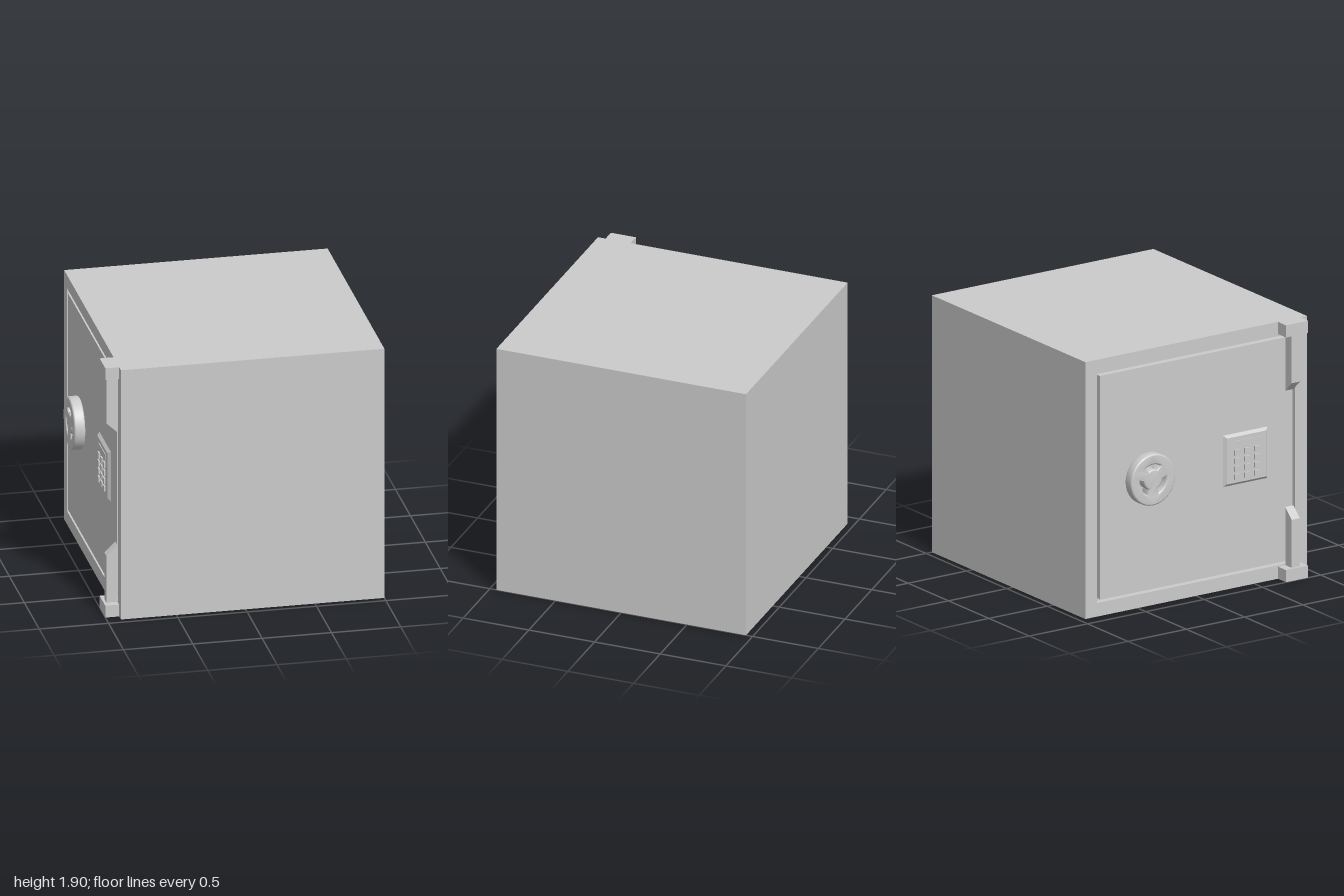
import * as THREE from 'three';
import { toCreasedNormals } from 'three/addons/utils/BufferGeometryUtils.js';

const H = 1.9, MID = 0.953;
const grey = new THREE.MeshStandardMaterial({ color: 0xcccccc });
const greyInside = new THREE.MeshStandardMaterial({ color: 0xcccccc, side: THREE.BackSide });

function add(parent, name, geometry, x = 0, y = 0, z = 0, material = grey) {
  const mesh = new THREE.Mesh(geometry, material);
  mesh.name = name;
  mesh.position.set(x, y, z);
  parent.add(mesh);
  return mesh;
}

// A box with one of its six faces left out
function openBox(w, h, d, missing) {
  const g = new THREE.BoxGeometry(w, h, d);
  const index = Array.from(g.index.array);
  index.splice(missing * 6, 6);
  g.setIndex(index);
  g.clearGroups();
  return g;
}

function rectangle(w, h, Type = THREE.Shape) {
  const pts = [[-w, -h], [w, -h], [w, h], [-w, h]];
  return new Type(pts.map(([x, y]) => new THREE.Vector2(x / 2, y / 2)));
}

// Thick disc pierced by three curved slots, leaving a hub and three spokes
function wheelGeometry() {
  const bevel = 0.012;
  const disc = new THREE.Shape().absarc(0, 0, 0.19 - bevel, 0, Math.PI * 2);
  for (let i = 0; i < 3; i++) {
    const a = Math.PI / 2 + i * Math.PI * 2 / 3 - 0.72, b = a + 1.44;
    const slot = new THREE.Path();
    slot.absarc(0, 0, 0.125, a, b, false);
    slot.absarc(0, 0, 0.065, b - 0.1, a + 0.1, true);
    slot.closePath();
    disc.holes.push(slot);
  }
  const g = new THREE.ExtrudeGeometry(disc, {
    depth: 0.08 - 2 * bevel, bevelThickness: bevel, bevelSize: bevel, bevelSegments: 3, curveSegments: 32,
  });
  g.translate(0, 0, bevel);
  return toCreasedNormals(g, 0.6);
}

// Hinge bar with a slanted end; flip gives the lower one
function hingeGeometry(flip) {
  const profile = [[0, 1.38], [0.08, 1.455], [0.08, 1.81], [0, 1.81]];
  const shape = new THREE.Shape(profile.map(([x, y]) => new THREE.Vector2(x, flip ? H - y : y)));
  const g = new THREE.ExtrudeGeometry(shape, { depth: 0.07, bevelEnabled: false });
  g.rotateY(-Math.PI / 2);
  g.translate(0.835, 0, 0);
  return g;
}

export function createModel() {
  const model = new THREE.Group();
  model.name = 'safe';

  // Cabinet, open on the door side
  add(model, 'cabinet', openBox(1.9, H, 1.9, 1), 0.05, H / 2, 0);

  // Door side: local x runs along the door, local z points outwards
  const side = new THREE.Group();
  side.name = 'doorSide';
  side.position.x = -0.9;
  side.rotation.y = -Math.PI / 2;
  model.add(side);

  // Frame around the recess, the recess and the door
  const frame = rectangle(1.9, H);
  frame.holes.push(rectangle(1.7, 1.7, THREE.Path));
  add(side, 'doorFrame', new THREE.ShapeGeometry(frame), 0, H / 2, 0);
  add(side, 'doorRecess', openBox(1.7, 1.7, 0.05, 4), 0, H / 2, -0.025, greyInside);
  add(side, 'door', new THREE.BoxGeometry(1.65, 1.65, 0.049), 0, H / 2, -0.0245);

  // Hinges with their brackets
  for (const flip of [false, true]) {
    add(side, 'hinge', hingeGeometry(flip));
    add(side, 'hingeBracket', new THREE.BoxGeometry(0.19, 0.09, 0.1), 0.797, flip ? 0.045 : H - 0.045, 0.05);
  }

  // Turning wheel
  add(side, 'wheel', wheelGeometry(), -0.42, MID, 0);

  // Keypad with sloping edges, display and buttons
  const keypad = new THREE.Group();
  keypad.name = 'keypad';
  keypad.position.set(0.42, MID, 0);
  side.add(keypad);
  const base = new THREE.CylinderGeometry(0.17 * Math.SQRT2, 0.19 * Math.SQRT2, 0.02, 4);
  base.rotateY(Math.PI / 4).rotateX(Math.PI / 2);
  add(keypad, 'keypadBase', toCreasedNormals(base, 0.3), 0, 0, 0.01);
  add(keypad, 'display', new THREE.BoxGeometry(0.22, 0.05, 0.006), 0, 0.115, 0.022);
  const button = new THREE.BoxGeometry(0.045, 0.04, 0.02);
  for (let row = 0; row < 4; row++) {
    for (let col = -1; col <= 1; col++) {
      add(keypad, 'button', button, col * 0.087, 0.055 - row * 0.06, 0.022);
    }
  }
  return model;
}
